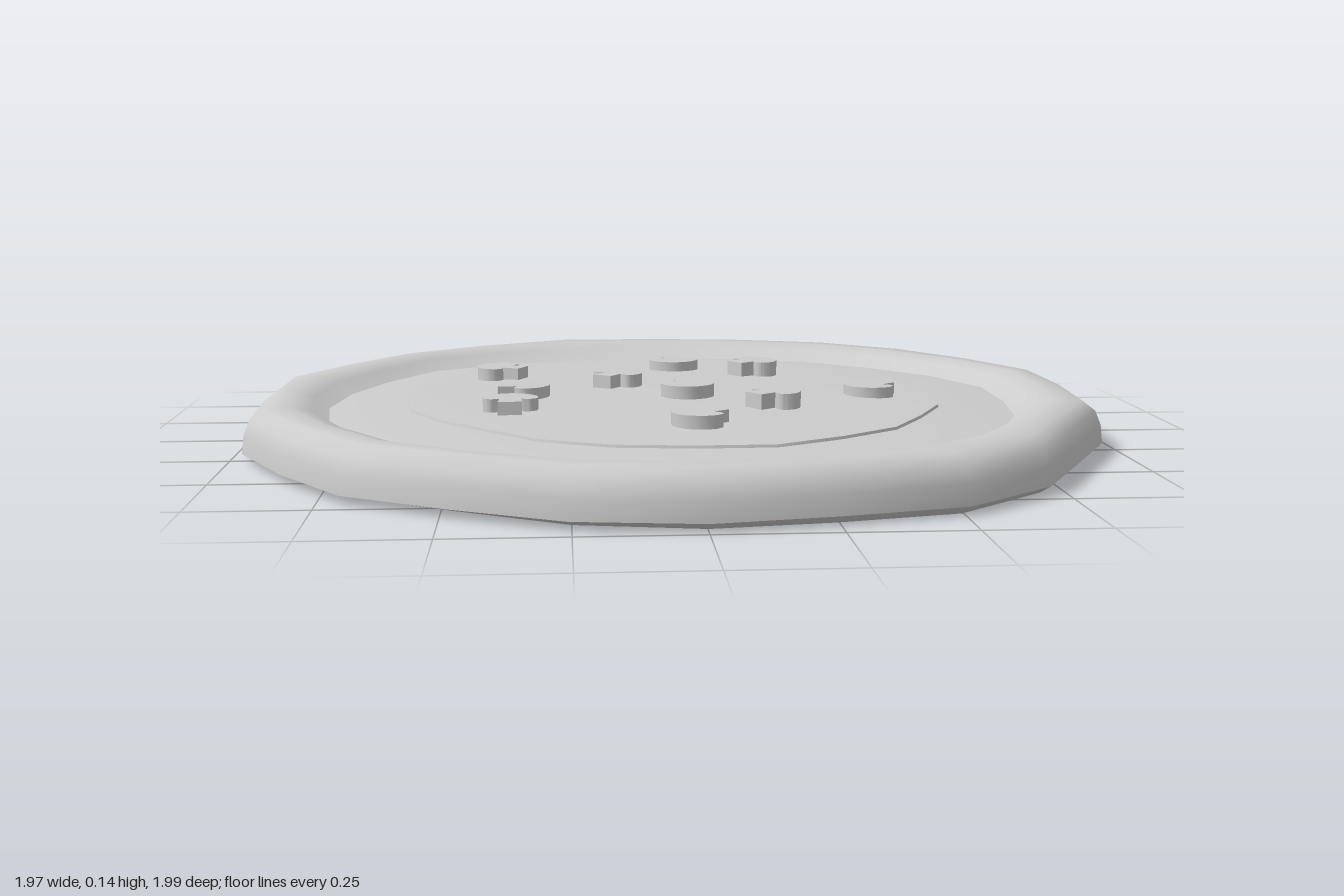
import * as THREE from 'three';
import { toCreasedNormals } from 'three/addons/utils/BufferGeometryUtils.js';

const N = 24; // one spoke every 15 degrees, starting at +x and turning towards +z

// hand-shaped radii for the three irregular outlines
const OUTER = [.985, 1, .972, 1.009, 1.02, .98, .992, .991, .97, .997, .984, 1.005,
  .984, 1.009, .99, 1.009, 1.007, 1.03, .997, .996, 1.013, 1.008, .994, 1.009];
const INNER = [.80, .80, .80, .81, .82, .82, .82, .83, .82, .82, .81, .81,
  .81, .81, .82, .85, .83, .82, .82, .81, .83, .82, .83, .83];
const CHEESE = [.62, .63, .62, .64, .64, .66, .64, .64, .63, .60, .61, .63,
  .63, .64, .65, .66, .64, .65, .655, .65, .645, .64, .62, .62];

// skin a list of rings; each ring is a function of spoke index giving [radius, height]
function loft(rings, crease) {
  const pos = [], idx = [];
  for (const ring of rings) {
    for (let i = 0; i < N; i++) {
      const a = i / N * Math.PI * 2, [r, y] = ring(i, a);
      pos.push(Math.cos(a) * r, y, Math.sin(a) * r);
    }
  }
  for (let k = 0; k < rings.length - 1; k++) {
    for (let i = 0; i < N; i++) {
      const j = (i + 1) % N, a = k * N + i, b = k * N + j;
      if (rings[k] !== centreLow) idx.push(a, a + N, b);
      else { idx.push(a, a + N, b + N); continue; }
      if (rings[k + 1] !== centreTop) idx.push(b, a + N, b + N);
    }
  }
  const g = new THREE.BufferGeometry();
  g.setAttribute('position', new THREE.Float32BufferAttribute(pos, 3));
  g.setIndex(idx);
  return toCreasedNormals(g, crease);
}
const centreLow = () => [0, 0.012];
const centreTop = () => [0, 0.108];

// flat mushroom slice: rounded cap with two lobes and a short stem
function mushroomGeometry(height) {
  const s = new THREE.Shape();
  s.moveTo(-0.027, 0.06);
  s.lineTo(-0.024, 0.016);
  s.quadraticCurveTo(-0.045, 0.03, -0.06, 0.012);
  s.bezierCurveTo(-0.075, -0.025, -0.035, -0.063, 0, -0.063);
  s.bezierCurveTo(0.035, -0.063, 0.075, -0.025, 0.06, 0.012);
  s.quadraticCurveTo(0.045, 0.03, 0.024, 0.016);
  s.lineTo(0.027, 0.06);
  s.closePath();
  const g = new THREE.ExtrudeGeometry(s, { depth: height, bevelEnabled: false, curveSegments: 5 });
  g.rotateX(-Math.PI / 2);
  return toCreasedNormals(g, 0.7);
}

export function createModel() {
  const group = new THREE.Group();
  const grey = new THREE.MeshStandardMaterial({ color: 0xcccccc });
  grey.name = 'plain grey';
  const add = (name, geometry) => {
    const m = new THREE.Mesh(geometry, grey);
    m.name = name;
    group.add(m);
    return m;
  };

  // crust: flat underside, steep outer wall, rounded rim, inner slope
  const dip = a => 0.014 * (1 - Math.max(0, Math.cos(a - 1.1)) ** 2);
  const mix = (i, t) => INNER[i] + (OUTER[i] - INNER[i]) * t;
  add('crust', loft([
    centreLow,
    (i, a) => [OUTER[i] - 0.025, dip(a)],
    i => [OUTER[i], 0.018],
    i => [OUTER[i] - 0.005, 0.06],
    i => [OUTER[i] - 0.018, 0.092],
    i => [OUTER[i] - 0.048, 0.115],
    i => [mix(i, 0.45), 0.116],
    i => [mix(i, 0.2), 0.104],
    i => [mix(i, 0), 0.074],
    i => [INNER[i] - 0.03, 0.07],
  ], 0.8));

  // sauce: sloping band inside the crust
  add('sauce', loft([
    i => [INNER[i] + 0.015, 0.074],
    i => [INNER[i] - 0.08, 0.084],
    i => [CHEESE[i] - 0.02, 0.091],
  ], 0.8));

  // cheese: low dome with a thin edge
  add('cheese', loft([
    i => [CHEESE[i], 0.086],
    i => [CHEESE[i] - 0.003, 0.096],
    i => [CHEESE[i] * 0.5, 0.105],
    centreTop,
  ], 0.6));

  // mushroom slices: x, z, stem direction x and z, top height
  const slices = [
    [0.03, -0.415, 0, -1, 0.128], [0.225, -0.30, -1, 0.7, 0.14],
    [-0.415, -0.30, 1, 0.5, 0.13], [-0.13, -0.115, -0.8, 1, 0.138],
    [-0.355, 0.03, -1, 0.05, 0.132], [0.03, 0.06, 0, -1, 0.137],
    [0.47, 0.03, 1, -0.9, 0.125], [-0.38, 0.21, 0, 1, 0.13],
    [0.215, 0.21, -1, 0.7, 0.14], [0.03, 0.42, 1, -0.8, 0.13],
  ];
  for (const [x, z, dx, dz, top] of slices) {
    const m = add('mushroomSlice', mushroomGeometry(top - 0.092));
    m.position.set(x, 0.092, z);
    m.rotation.y = Math.atan2(-dx, -dz);
  }
  return group;
}
